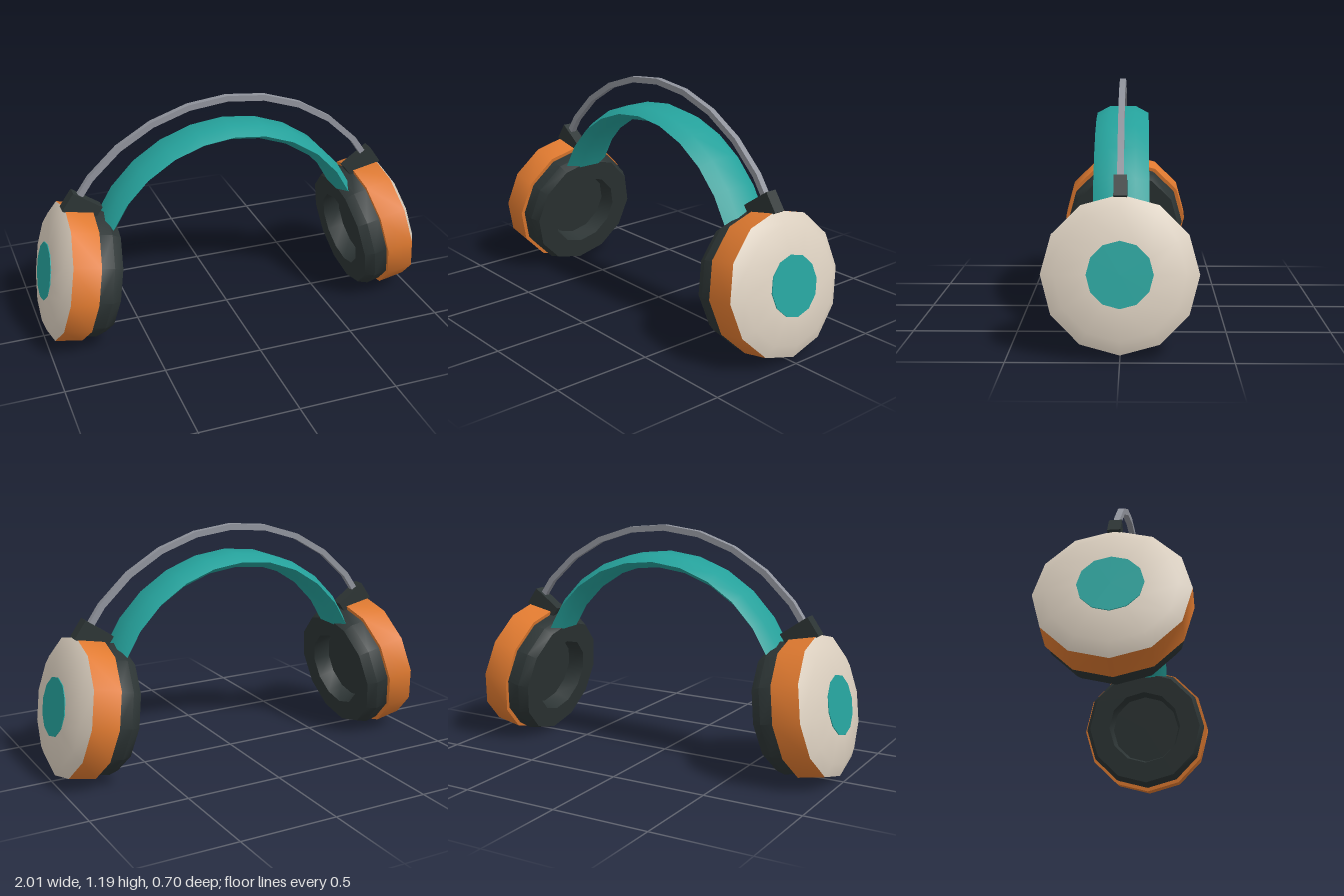
import * as THREE from 'three';
import { toCreasedNormals } from 'three/addons/utils/BufferGeometryUtils.js';

const SIDES = 12;
const TILT = 0.2;

function makeMaterial(name, color) {
  const m = new THREE.MeshStandardMaterial({ color });
  m.name = name;
  return m;
}

function makeMesh(name, geometry, material) {
  const m = new THREE.Mesh(geometry, material);
  m.name = name;
  return m;
}

// Twelve-sided turned part; profile runs from the inner to the outer side
function turned(profile) {
  const points = profile.map(([r, y]) => new THREE.Vector2(r, y));
  return toCreasedNormals(new THREE.LatheGeometry(points, SIDES), 0.6);
}

// Sweeps strips of [radial offset, z] points along an arch in the xy plane.
// Separate strips keep a sharp edge between them.
function arch(radius, centreY, halfAngle, segments, strips) {
  const pos = [], idx = [];
  for (const strip of strips) {
    const base = pos.length / 3, n = strip.length;
    for (let i = 0; i <= segments; i++) {
      const a = -halfAngle + (2 * halfAngle * i) / segments;
      for (const [d, z] of strip) {
        pos.push((radius + d) * Math.sin(a), centreY + (radius + d) * Math.cos(a), z);
      }
    }
    for (let i = 0; i < segments; i++) {
      for (let j = 0; j < n - 1; j++) {
        const p = base + i * n + j, q = p + n;
        idx.push(p, p + 1, q, q, p + 1, q + 1);
      }
    }
  }
  const g = new THREE.BufferGeometry();
  g.setAttribute('position', new THREE.Float32BufferAttribute(pos, 3));
  g.setIndex(idx);
  g.computeVertexNormals();
  return g;
}

export function createModel() {
  const teal = makeMaterial('teal', 0x25a19b);
  const orange = makeMaterial('orange', 0xe07a30);
  const cream = makeMaterial('cream', 0xdcd0c0);
  const dark = makeMaterial('charcoal', 0x2c3434);
  const grey = makeMaterial('grey metal', 0x8f929b);
  const model = new THREE.Group();
  model.name = 'headphones';

  // Padded headband: flattened six-sided section
  model.add(makeMesh('headband', arch(0.705, 0.315, THREE.MathUtils.degToRad(66), 10, [
    [[0, -0.13], [0.035, -0.065], [0.035, 0.065], [0, 0.13]],
    [[0, 0.13], [-0.035, 0.065], [-0.035, -0.065], [0, -0.13]],
  ]), teal));

  // Thin outer metal bow
  const t = 0.015;
  const corners = [[t, -t], [t, t], [-t, t], [-t, -t]];
  model.add(makeMesh('metalBow', arch(0.934, 0.246, THREE.MathUtils.degToRad(61.5), 10,
    corners.map((c, i) => [c, corners[(i + 1) % 4]])), grey));

  const shellGeo = toCreasedNormals(
    new THREE.CylinderGeometry(0.35, 0.35, 0.14, SIDES).translate(0, 0.07, 0), 0.6);
  const coverGeo = turned([[0.35, 0.14], [0.29, 0.174], [0.148, 0.197], [0, 0.198]]);
  const badgeGeo = new THREE.CylinderGeometry(0.147, 0.147, 0.006, SIDES).translate(0, 0.198, 0);
  const padGeo = turned([
    [0, -0.03], [0.185, -0.03], [0.2, -0.118], [0.31, -0.118], [0.333, -0.07], [0.33, 0],
  ]);
  const blockGeo = new THREE.BoxGeometry(0.172, 0.105, 0.06);

  for (const [side, s] of [['left', 1], ['right', -1]]) {
    // Ear cup: local +y points outward, away from the head
    const cup = new THREE.Group();
    cup.name = side + 'EarCup';
    cup.add(
      makeMesh('shell', shellGeo, orange),
      makeMesh('cover', coverGeo, cream),
      makeMesh('coverDisc', badgeGeo, teal),
      makeMesh('earPad', padGeo, dark),
    );
    cup.position.set(s * 0.775, 0.348, 0);
    cup.rotation.z = -s * (Math.PI / 2 - TILT);
    model.add(cup);

    // Block joining bow and cup
    const block = makeMesh(side + 'BowMount', blockGeo, dark);
    block.position.set(s * 0.76, 0.71, 0);
    block.rotation.z = s * 0.61;
    model.add(block);
  }
  return model;
}
